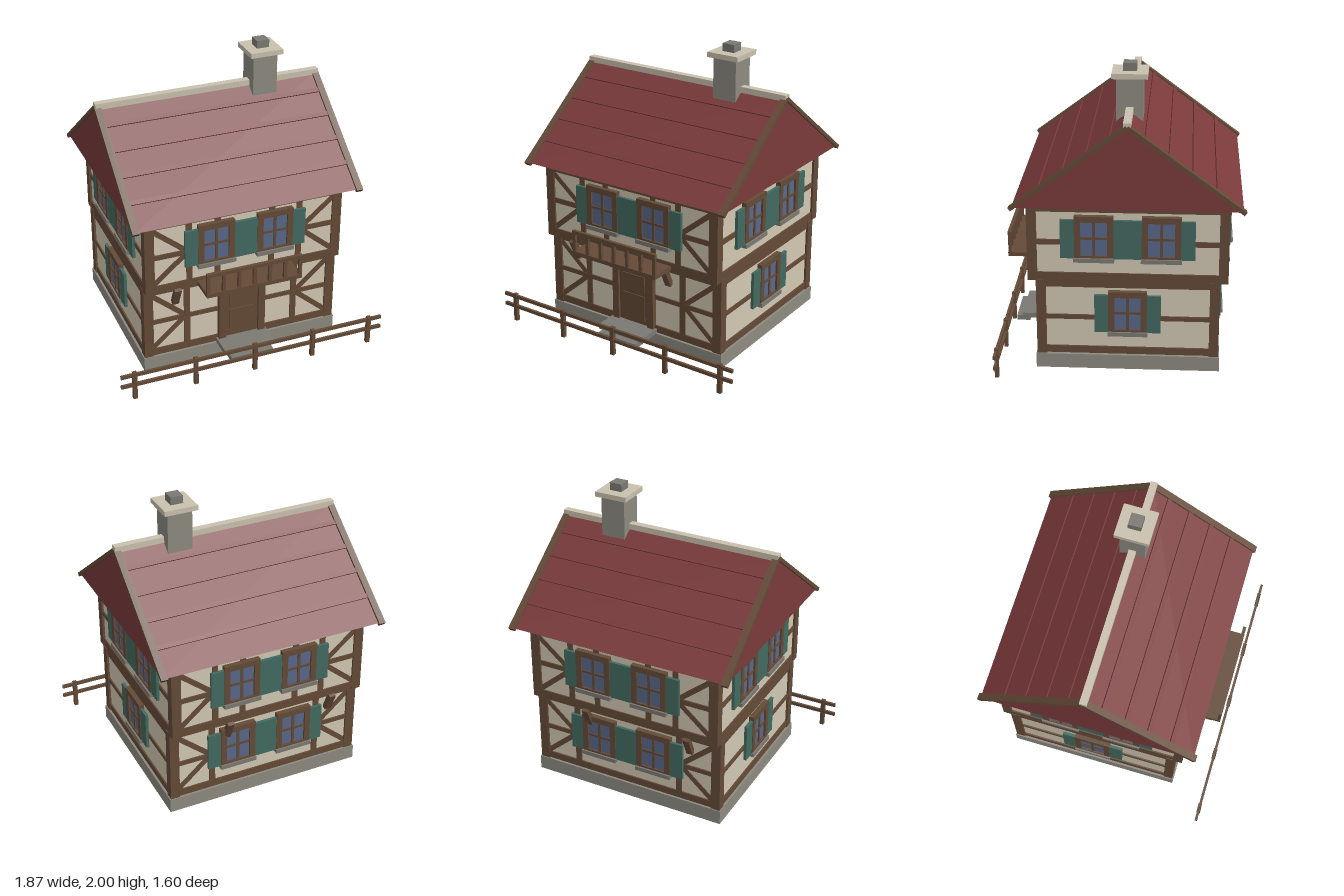
import * as THREE from 'three';

const material = (name, color) => {
  const m = new THREE.MeshStandardMaterial({ color });
  m.name = name;
  return m;
};

export function createModel() {
  const plaster = material('plaster', 0xd2c8b3);
  const timber = material('timber', 0x644a37);
  const red = material('roof red', 0x7a3a3b);
  const green = material('shutter green', 0x426a60);
  const blue = material('window glass', 0x58688a);
  const stone = material('stone', 0x8d8a80);
  const slate = material('sill grey', 0x7b7972);
  const cream = material('pale stone', 0xcac1ae);

  const house = new THREE.Group();
  house.name = 'timberHouse';
  const MID = -0.055; // z of the ridge and of the house centre

  const group = (name, parent = house) => {
    const g = new THREE.Group();
    g.name = name;
    parent.add(g);
    return g;
  };
  // Box given by its extents on each axis
  const box = (parent, name, mat, x0, x1, y0, y1, z0, z1) => {
    const mesh = new THREE.Mesh(new THREE.BoxGeometry(x1 - x0, y1 - y0, z1 - z0), mat);
    mesh.position.set((x0 + x1) / 2, (y0 + y1) / 2, (z0 + z1) / 2);
    mesh.name = name;
    parent.add(mesh);
    return mesh;
  };

  // Foundation and plaster walls, upper storey jutting out front and back
  box(house, 'foundation', stone, -0.695, 0.695, 0, 0.1, MID - 0.6, MID + 0.6);
  box(house, 'lowerWalls', plaster, -0.672, 0.672, 0.1, 0.63, MID - 0.58, MID + 0.58);
  box(house, 'upperWalls', plaster, -0.672, 0.672, 0.64, 1.155, MID - 0.633, MID + 0.633);
  box(house, 'jettyFloor', timber, -0.675, 0.675, 0.62, 0.645, MID - 0.635, MID + 0.635);

  // Corner posts
  for (const sx of [-1, 1]) for (const sz of [-1, 1]) {
    for (const [half, y0, y1] of [[0.593, 0.1, 0.63], [0.645, 0.625, 1.155]]) {
      const x = sx * 0.655, z = MID + sz * (half - 0.0315);
      box(house, 'cornerPost', timber, x - 0.0325, x + 0.0325, y0, y1, z - 0.0315, z + 0.0315);
    }
  }

  // Facade frames: local x runs along the wall, local z = 0 is the outer timber face
  const facade = (name, x, z, turn) => {
    const g = group(name);
    g.position.set(x, 0, z);
    g.rotation.y = turn;
    return g;
  };
  const rails = (g, half, rows) => rows.forEach(([y0, y1]) =>
    box(g, 'rail', timber, -half, half, y0, y1, -0.05, -0.003));
  const brace = (g, x0, y0, x1, y1) => {
    const len = Math.hypot(x1 - x0, y1 - y0);
    const b = box(g, 'brace', timber, -len / 2, len / 2, -0.0175, 0.0175, -0.02, 0.02);
    b.position.set((x0 + x1) / 2, (y0 + y1) / 2, -0.026);
    b.rotation.z = Math.atan2(y1 - y0, x1 - x0);
  };
  // Casement window with shutters; y is the bottom of the frame
  const windowUnit = (parent, x, y) => {
    const g = group('window', parent);
    g.position.set(x, y, 0);
    box(g, 'glass', blue, -0.09, 0.09, 0.01, 0.25, -0.015, 0.006);
    for (const s of [-1, 1]) {
      box(g, 'frameSide', timber, s * 0.105 - 0.02, s * 0.105 + 0.02, 0, 0.27, -0.015, 0.02);
      box(g, 'shutter', green, s * 0.165 - 0.05, s * 0.165 + 0.05, 0, 0.263, -0.005, 0.015);
    }
    box(g, 'frameTop', timber, -0.125, 0.125, 0.25, 0.29, -0.015, 0.022);
    box(g, 'frameBottom', timber, -0.09, 0.09, 0, 0.02, -0.015, 0.02);
    box(g, 'mullion', timber, -0.009, 0.009, 0.02, 0.25, -0.01, 0.014);
    box(g, 'transom', timber, -0.09, 0.09, 0.13, 0.146, -0.01, 0.013);
    box(g, 'sill', slate, -0.13, 0.13, -0.022, 0.006, -0.01, 0.032);
  };

  const lowerRows = [[0.105, 0.155], [0.35, 0.382], [0.58, 0.63]];
  const upperRows = [[0.63, 0.682], [0.875, 0.91], [1.1, 1.153]];

  // Front and back: posts, diagonal braces, windows, jetty brackets
  for (const s of [1, -1]) {
    const turn = s > 0 ? 0 : Math.PI;
    const side = s > 0 ? 'front' : 'back';
    const low = facade(side + 'LowerFrame', 0, MID + s * 0.593, turn);
    const up = facade(side + 'UpperFrame', 0, MID + s * 0.645, turn);
    rails(low, 0.63, lowerRows);
    rails(up, 0.63, upperRows);
    for (const x of [-0.385, 0.385]) box(low, 'post', timber, x - 0.021, x + 0.021, 0.15, 0.59, -0.05, -0.004);
    for (const x of [-0.385, -0.19, 0.19, 0.385]) box(up, 'post', timber, x - 0.02, x + 0.02, 0.67, 1.11, -0.05, -0.004);
    for (const m of [-1, 1]) {
      brace(low, m * 0.63, 0.575, m * 0.4, 0.375);
      brace(low, m * 0.63, 0.16, m * 0.4, 0.36);
      brace(up, m * 0.63, 1.09, m * 0.4, 0.9);
      brace(up, m * 0.63, 0.69, m * 0.4, 0.885);
      windowUnit(up, m * 0.205, 0.79);
      if (s < 0) windowUnit(low, m * 0.205, 0.27);
    }
    for (const x of [-0.47, 0.28]) {
      const b = box(house, 'jettyBracket', timber, -0.0225, 0.0225, -0.075, 0.075, -0.017, 0.017);
      b.position.set(x, 0.56, MID + s * 0.618);
      b.rotation.x = s * 0.42;
    }
  }

  // Gable sides: plain rails and windows
  for (const s of [1, -1]) {
    const g = facade(s > 0 ? 'leftSideFrame' : 'rightSideFrame', s * 0.685, MID, s * Math.PI / 2);
    rails(g, 0.54, lowerRows);
    rails(g, 0.59, upperRows);
    windowUnit(g, 0, 0.27);
    for (const m of [-1, 1]) windowUnit(g, m * 0.215, 0.79);
  }

  // Roof: closed prism, shingle courses, barge boards, ridge cap
  const roof = group('roof');
  const HALF = 0.725, EAVE = 1.157, PEAK = 1.697;
  const outline = new THREE.Shape([
    new THREE.Vector2(-HALF, EAVE), new THREE.Vector2(HALF, EAVE), new THREE.Vector2(0, PEAK)]);
  const prism = new THREE.ExtrudeGeometry(outline, { depth: 1.55, bevelEnabled: false });
  prism.translate(0, 0, -0.775).rotateY(Math.PI / 2);
  const body = new THREE.Mesh(prism, red);
  body.name = 'roofBody';
  body.position.z = MID;
  roof.add(body);
  const pitch = Math.atan2(PEAK - EAVE, HALF);
  const slope = Math.hypot(PEAK - EAVE, HALF);
  for (const s of [1, -1]) {
    // Local frame on the slope: z runs from the ridge to the eave, y is outward
    const face = group('roofSlope', roof);
    face.position.set(0, PEAK, MID);
    face.rotation.set(pitch, s > 0 ? 0 : Math.PI, 0, 'YXZ');
    for (const y of [1.605, 1.495, 1.385, 1.272]) {
      const d = (PEAK - y) / Math.sin(pitch);
      box(face, 'shingleCourse', red, -0.745, 0.745, -0.005, 0.01, d - 0.024, d + 0.006);
    }
    for (const m of [-1, 1]) {
      box(face, 'bargeBoard', timber, m * 0.7675 - 0.0225, m * 0.7675 + 0.0225, -0.012, 0.014, 0, slope + 0.012);
    }
  }
  box(roof, 'ridgeCap', cream, -0.785, 0.785, 1.685, 1.725, MID - 0.024, MID + 0.024);

  // Chimney
  const chimney = group('chimney');
  const block = (name, mat, r, y0, y1) =>
    box(chimney, name, mat, 0.366 - r, 0.366 + r, y0, y1, MID - r, MID + r);
  block('stack', stone, 0.085, 1.58, 1.915);
  block('chimneyCap', cream, 0.114, 1.913, 1.947);
  block('flue', slate, 0.043, 1.945, 2);

  // Door with surround, tilted canopy and steps
  const door = group('entrance');
  box(door, 'doorLeaf', timber, -0.12, 0.12, 0.13, 0.51, 0.5, 0.542);
  for (const [y0, y1] of [[0.16, 0.345], [0.37, 0.49]]) {
    box(door, 'doorPanel', timber, -0.09, 0.09, y0, y1, 0.54, 0.549);
  }
  for (const m of [-1, 1]) {
    box(door, 'doorPost', timber, m * 0.142 - 0.024, m * 0.142 + 0.024, 0.13, 0.51, 0.5, 0.56);
  }
  box(door, 'lintel', timber, -0.18, 0.18, 0.507, 0.56, 0.5, 0.57);
  const canopy = box(door, 'canopy', red, -0.215, 0.215, -0.0125, 0.0125, -0.07, 0.07);
  canopy.position.set(0, 0.595, 0.605);
  canopy.rotation.x = -0.25;
  box(door, 'upperStep', slate, -0.18, 0.18, 0.097, 0.133, 0.53, 0.7);
  box(door, 'lowerStep', slate, -0.15, 0.15, 0.063, 0.1, 0.655, 0.745);

  // Balcony
  const balcony = group('balcony');
  box(balcony, 'balconyFloor', timber, -0.333, 0.333, 0.632, 0.66, 0.57, 0.765);
  box(balcony, 'handrail', timber, -0.333, 0.333, 0.783, 0.808, 0.743, 0.765);
  for (let i = -3; i <= 3; i++) {
    const x = i * 0.107;
    box(balcony, 'baluster', timber, x - 0.0115, x + 0.0115, 0.655, 0.79, 0.745, 0.763);
  }

  // Garden fence
  const fence = group('fence');
  for (const y of [0.108, 0.184]) box(fence, 'fenceRail', timber, -0.935, 0.935, y - 0.0115, y + 0.0115, 0.777, 0.795);
  for (let i = -2; i <= 2; i++) {
    box(fence, 'fencePost', timber, i * 0.421 - 0.014, i * 0.421 + 0.014, 0, 0.205, 0.773, 0.799);
  }

  return house;
}
